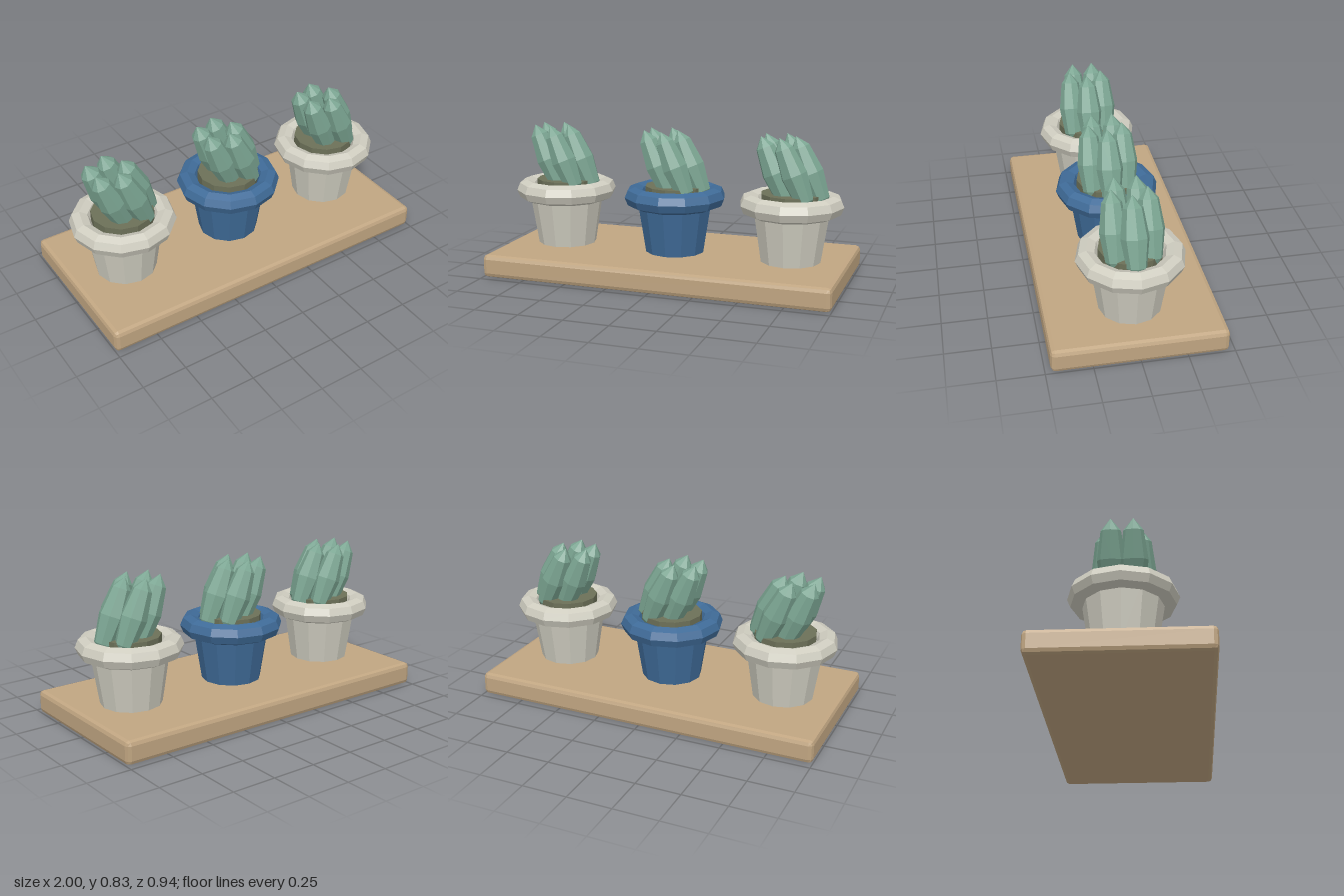
import * as THREE from 'three';
import { RoundedBoxGeometry } from 'three/addons/geometries/RoundedBoxGeometry.js';

const flat = (color) => new THREE.MeshStandardMaterial({ color, flatShading: true });

function addMesh(parent, name, geometry, material, x = 0, y = 0, z = 0) {
  const mesh = new THREE.Mesh(geometry, material);
  mesh.name = name;
  mesh.position.set(x, y, z);
  parent.add(mesh);
  return mesh;
}

export function createModel() {
  const model = new THREE.Group();
  model.name = 'pottedCactiOnBoard';

  const wood = flat(0xc0a581);
  const white = flat(0xcfcdc0);
  const blue = flat(0x3f6b98);
  const soilMat = flat(0x6c7058);
  const green = flat(0x7ba592);

  // Board with chamfered edges
  addMesh(model, 'board', new RoundedBoxGeometry(2, 0.13, 0.94, 1, 0.025), wood, 0, 0.065, 0);

  // Shared geometries
  const potGeo = new THREE.CylinderGeometry(0.22, 0.17, 0.32, 12);
  const rimGeo = new THREE.TorusGeometry(0.232, 0.06, 8, 12).rotateX(Math.PI / 2);
  const soilGeo = new THREE.CylinderGeometry(0.172, 0.172, 0.08, 12);
  const stemGeo = new THREE.SphereGeometry(0.075, 8, 4).scale(1, 2.9, 1);

  const makePlant = (x, potMat) => {
    const plant = new THREE.Group();
    plant.name = 'pottedCactus';
    plant.position.x = x;
    addMesh(plant, 'pot', potGeo, potMat, 0, 0.29, 0);
    addMesh(plant, 'potRim', rimGeo, potMat, 0, 0.45, 0);
    addMesh(plant, 'soil', soilGeo, soilMat, 0, 0.474, 0);

    // Five stems in a ring, all leaning the same way
    for (let i = 0; i < 5; i++) {
      const a = (i / 5) * Math.PI * 2;
      const stem = addMesh(plant, 'cactusStem', stemGeo, green,
        Math.cos(a) * 0.1, 0.63, Math.sin(a) * 0.1);
      stem.rotation.z = 0.4;
    }
    model.add(plant);
  };

  makePlant(-0.68, white);
  makePlant(0, blue);
  makePlant(0.68, white);

  return model;
}
